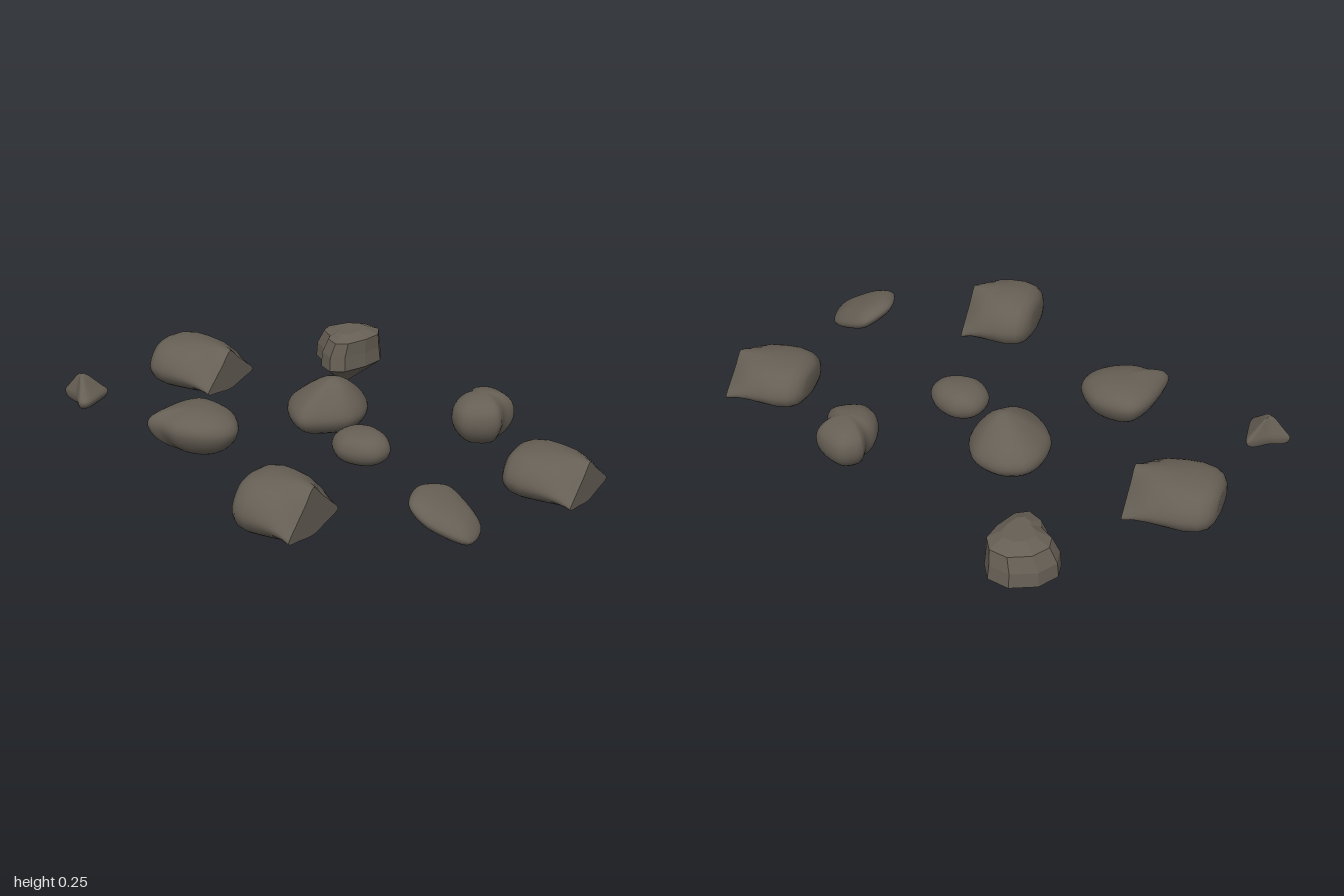
import * as THREE from 'three';

const SIDES = 40;

// Skin a stack of rings, closing both ends with fans; sharpEnd gives the last fan its own hard edge.
function loft(rings, sharpEnd = false) {
  const n = rings[0].length, pos = [], index = [];
  const add = (p) => pos.push(p.x, p.y, p.z) / 3 - 1;
  const centre = (ring) => ring.reduce((s, p) => s.add(p), new THREE.Vector3()).divideScalar(n);
  rings.forEach((ring) => ring.forEach(add));
  for (let l = 0; l < rings.length - 1; l++) {
    for (let i = 0; i < n; i++) {
      const j = (i + 1) % n, a = l * n + i, b = l * n + j;
      index.push(a, a + n, b, b, a + n, b + n);
    }
  }
  const last = rings[rings.length - 1];
  const c0 = add(centre(rings[0]));
  for (let i = 0; i < n; i++) index.push(c0, i, (i + 1) % n);
  let base = (rings.length - 1) * n;
  if (sharpEnd) {
    base = pos.length / 3;
    last.forEach(add);
  }
  const c1 = add(centre(last));
  for (let i = 0; i < n; i++) index.push(base + i, c1, base + (i + 1) % n);
  const g = new THREE.BufferGeometry();
  g.setAttribute('position', new THREE.Float32BufferAttribute(pos, 3));
  g.setIndex(index);
  g.computeVertexNormals();
  return g;
}

// Closed smooth ring through a few points
function smoothRing(points, sides = SIDES) {
  const pts = new THREE.CatmullRomCurve3(points, true, 'catmullrom', 0.45).getPoints(sides);
  pts.pop();
  return pts;
}

// Boulder: plan outline [x, z] stacked by levels [y, scale, shiftX, shiftZ]; slope tilts it along x
function boulder({ outline, levels, slope = 0, faceted = false }) {
  const xs = outline.map((p) => p[0]), zs = outline.map((p) => p[1]);
  const cx = (Math.min(...xs) + Math.max(...xs)) / 2;
  const cz = (Math.min(...zs) + Math.max(...zs)) / 2;
  const ring = ([y, s, dx = 0, dz = 0]) => {
    const pts = outline.map(([x, z]) => new THREE.Vector3(
      cx + (x - cx) * s + dx, y + slope * (x - cx) * s, cz + (z - cz) * s + dz));
    return faceted ? pts : smoothRing(pts);
  };
  if (faceted) {
    const g = loft(levels.map(ring)).toNonIndexed();
    g.computeVertexNormals();
    return g;
  }
  const profile = new THREE.CatmullRomCurve3(levels.map(([y, s, dx = 0]) => new THREE.Vector3(s * 0.15, y, dx)));
  return loft(profile.getPoints(18).map((p) => ring([p.y, p.x / 0.15, p.z])));
}

// Split block: rounded at -x, broken off to a flat triangular face at +x
const ROUND = [[0, .5], [.28, .43], [.45, .18], [.5, -.1], [.38, -.37], [0, -.5]];
const BREAK = [[0, .41], [.17, .18], [.34, -.04], [.5, -.28], [.28, -.36], [0, -.43]];
const fullLoop = (half) => [...half.map(([z, y]) => [-z, y]), ...half.slice(1, -1).reverse()];
const BLOCK_STEPS = [[0, .42, 0], [.02, .6, 0], [.07, .8, 0], [.16, .93, 0], [.32, 1, 0],
  [.5, 1, .05], [.7, 1, .2], [.86, 1, .5], [1, 1, 1]];

function splitBlock([x0, x1], [y0, y1], [z0, z1]) {
  const a = fullLoop(ROUND), b = fullLoop(BREAK);
  const rings = BLOCK_STEPS.map(([u, s, t]) => smoothRing(a.map((p, i) => new THREE.Vector3(
    THREE.MathUtils.lerp(x0, x1, u),
    (y0 + y1) / 2 + (y1 - y0) * s * THREE.MathUtils.lerp(p[1], b[i][1], t),
    (z0 + z1) / 2 + (z1 - z0) * s * THREE.MathUtils.lerp(p[0], b[i][0], t)))));
  return loft(rings, true);
}

const BOULDERS = {
  peakedBoulder: {
    outline: [[-.22, -.18], [-.18, -.25], [-.09, -.28], [.01, -.245], [.06, -.155], [.05, -.065],
      [-.02, .005], [-.09, .05], [-.165, .005], [-.22, -.075]],
    levels: [[.04, .2], [.05, .55], [.08, .88], [.115, 1], [.15, .93], [.19, .68, .01], [.225, .38, .02], [.245, .1, .025]],
  },
  ovalBoulder: {
    outline: [[.37, -.385], [.43, -.43], [.5, -.41], [.55, -.37], [.54, -.315], [.555, -.245],
      [.51, -.2], [.44, -.175], [.38, -.215], [.36, -.28], [.375, -.325]],
    levels: [[.05, .2], [.062, .55], [.1, .87], [.145, 1], [.19, .93], [.222, .62], [.236, .2]],
  },
  pebble: {
    outline: [[.08, .06], [.11, .01], [.18, -.01], [.255, .02], [.295, .075], [.28, .135],
      [.22, .17], [.14, .17], [.085, .12]],
    levels: [[.05, .2], [.058, .6], [.08, .9], [.11, 1], [.14, .9], [.163, .6], [.172, .2]],
  },
  flatBoulder: {
    outline: [[-.51, .395], [-.495, .245], [-.45, .16], [-.37, .15], [-.28, .18], [-.22, .255],
      [-.23, .325], [-.29, .38], [-.38, .41], [-.45, .4]],
    levels: [[.035, .2], [.05, .5], [.085, .82], [.135, 1], [.165, .95], [.19, .72], [.205, .3]],
    slope: -.06,
  },
  craggyBoulder: {
    outline: [[-.45, -.68], [-.405, -.75], [-.315, -.79], [-.235, -.77], [-.2, -.705], [-.215, -.62],
      [-.255, -.53], [-.305, -.5], [-.365, -.535], [-.38, -.575], [-.44, -.62]],
    levels: [[0, .15, .01, .03], [.04, .65], [.075, 1], [.13, .96], [.185, .84, .015], [.207, .45, .02]],
    faceted: true,
  },
  tiltedSlab: {
    outline: [[.6, .405], [.655, .325], [.735, .34], [.82, .395], [.83, .5], [.71, .55], [.63, .53], [.6, .47]],
    levels: [[.095, .3], [.103, .7], [.12, .93], [.138, 1], [.155, .93], [.175, .68], [.184, .25]],
    slope: -.42,
  },
  smallShard: {
    outline: [[-1, .245], [-.93, .215], [-.865, .165], [-.85, .22], [-.845, .3], [-.875, .32], [-.93, .275]],
    levels: [[.08, .3], [.085, .7], [.1, .94], [.118, 1], [.14, .78], [.165, .5], [.185, .28], [.196, .1]],
  },
};

const BLOCKS = {
  largeBlock: [[-.87, -.56], [.045, .228], [-.35, -.05]],
  sideBlock: [[.715, 1], [.045, .215], [-.18, .11]],
  frontBlock: [[.08, .335], [.03, .232], [.485, .79]],
};

export function createModel() {
  const group = new THREE.Group();
  group.name = 'rocks';
  const stone = new THREE.MeshStandardMaterial({ color: 0x665f55 });
  stone.name = 'stone';
  const place = (name, geometry) => {
    const mesh = new THREE.Mesh(geometry, stone);
    mesh.name = name;
    group.add(mesh);
  };
  for (const [name, spec] of Object.entries(BOULDERS)) place(name, boulder(spec));
  for (const [name, box] of Object.entries(BLOCKS)) place(name, splitBlock(...box));
  return group;
}
